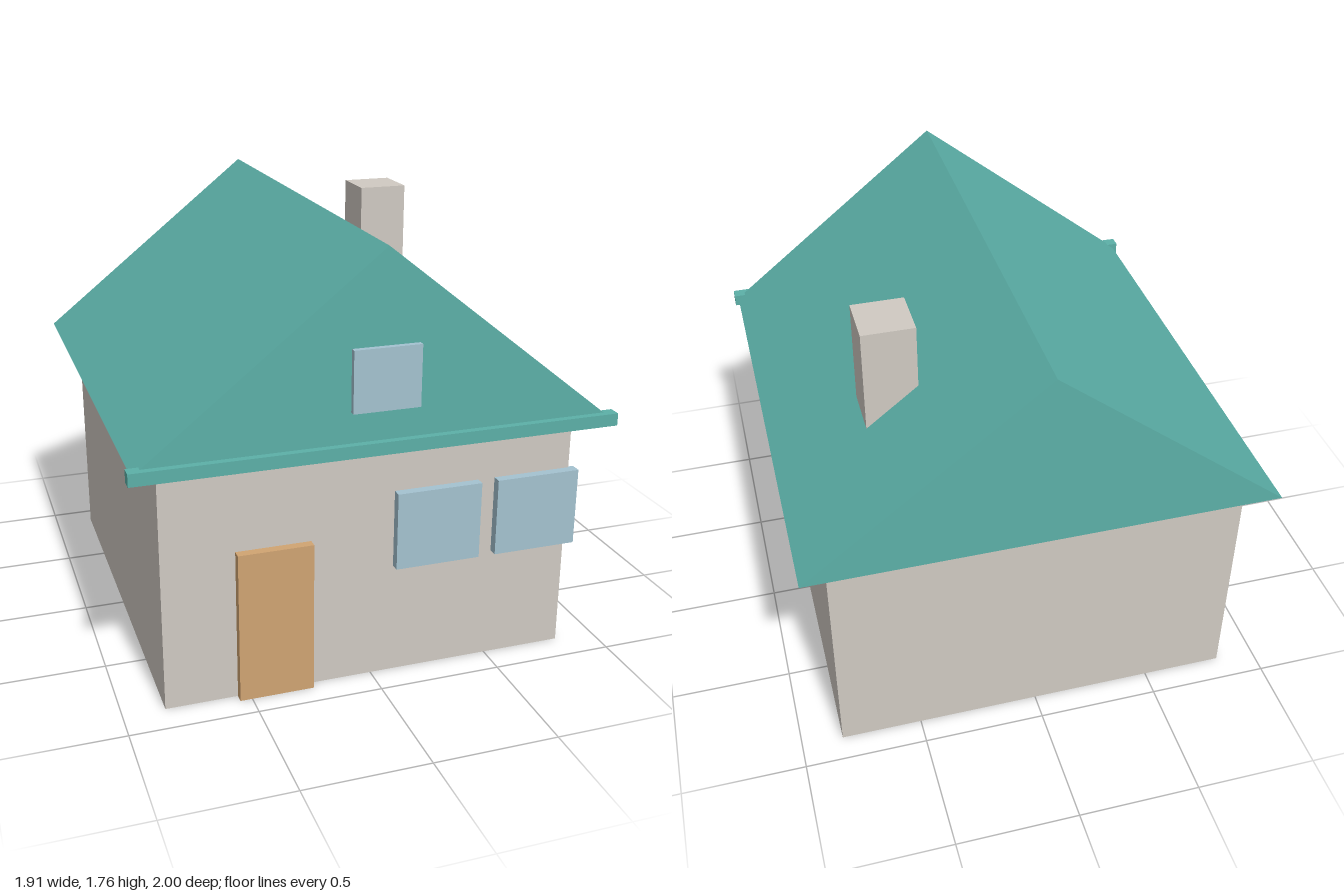
import * as THREE from 'three';

const mat = (name, color) => {
  const m = new THREE.MeshStandardMaterial({ color });
  m.name = name;
  return m;
};

export function createModel() {
  const house = new THREE.Group();
  house.name = 'house';

  const wall = mat('warm grey wall', 0xd0cac2);
  const roofTeal = mat('teal roof', 0x5cb0a8);
  const wood = mat('light wood', 0xd0a472);
  const glass = mat('pale blue glass', 0xa4c2d0);

  // Box given by its extents along each axis
  const box = (name, material, [x0, x1], [y0, y1], [z0, z1]) => {
    const mesh = new THREE.Mesh(new THREE.BoxGeometry(x1 - x0, y1 - y0, z1 - z0), material);
    mesh.position.set((x0 + x1) / 2, (y0 + y1) / 2, (z0 + z1) / 2);
    mesh.name = name;
    house.add(mesh);
  };

  // Walls
  box('walls', wall, [-0.835, 0.832], [0, 1.018], [-0.895, 0.873]);

  // Gabled roof, a solid triangular prism
  const gable = new THREE.Shape([
    new THREE.Vector2(-0.94, 1.015),
    new THREE.Vector2(0.94, 1.015),
    new THREE.Vector2(0, 1.763),
  ]);
  const roof = new THREE.Mesh(
    new THREE.ExtrudeGeometry(gable, { depth: 1.972, bevelEnabled: false }), roofTeal);
  roof.position.z = -1;
  roof.name = 'roof';
  house.add(roof);

  // Beam along the foot of the front gable
  box('eaveBeam', roofTeal, [-0.957, 0.957], [0.99, 1.04], [0.95, 1]);

  // Chimney, sunk into the right slope
  box('chimney', wall, [0.38, 0.587], [1.2, 1.72], [-0.515, -0.305]);

  // Door and windows on the front
  box('door', wood, [-0.548, -0.25], [0, 0.62], [0.868, 0.91]);
  for (const x of [0.087, 0.507]) {
    box('frontWindow', glass, [x, x + 0.35], [0.462, 0.78], [0.866, 0.91]);
  }
  box('atticWindow', glass, [-0.133, 0.13], [1.16, 1.4], [0.965, 0.995]);

  return house;
}
